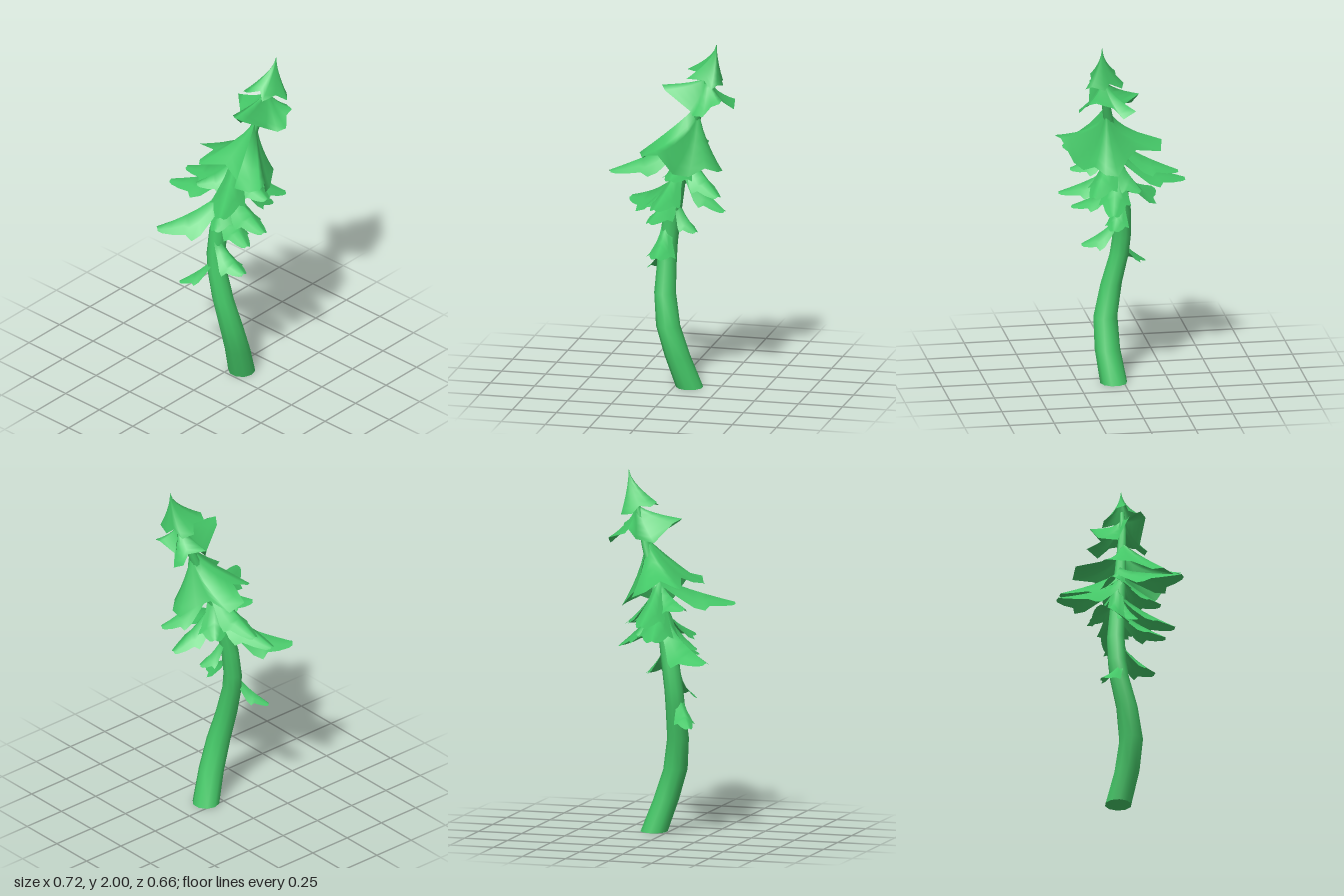
import * as THREE from 'three';

const green = new THREE.MeshStandardMaterial({ color: 0x44c767, side: THREE.DoubleSide });
const V = ([x, y, z]) => new THREE.Vector3(x, y, z);

// Smooth surface through rows of points; wrap joins the last column to the first
function surface(name, rows, wrap) {
  const n = rows[0].length, index = [];
  for (let i = 0; i < rows.length - 1; i++) {
    for (let j = 0; j < (wrap ? n : n - 1); j++) {
      const k = (j + 1) % n;
      const a = i * n + j, b = i * n + k, c = a + n, d = b + n;
      index.push(a, b, c, b, d, c);
    }
  }
  const geo = new THREE.BufferGeometry().setFromPoints(rows.flat());
  geo.setIndex(index);
  geo.computeVertexNormals();
  const mesh = new THREE.Mesh(geo, green);
  mesh.name = name;
  return mesh;
}

// Needle skirt: rim points are x, y, z and an optional curl (smaller is steeper at the apex)
function skirt(name, apex, rim) {
  const top = V(apex);
  const rows = [0, 0.08, 0.2, 0.38, 0.6, 0.8, 1].map((t) => rim.map((r) => {
    const p = top.clone().lerp(V(r), t);
    p.y = top.y + (r[1] - top.y) * Math.pow(t, r[3] ?? 0.58);
    return p;
  }));
  return surface(name, rows, true);
}

// Drooping bough: roof-shaped cross-sections (t, half width, edge droop) with toothed edges and a blunt tip
const outline = [
  [0, 0.32, 0.45], [0.1, 0.42, 0.52], [0.22, 0.54, 0.65], [0.42, 0.85, 0.9], [0.56, 1, 0.85],
  [0.63, 0.72, 0.55], [0.8, 0.56, 0.38], [0.95, 0.34, 0.2], [1, 0.2, 0.1],
];
function bough(base, tip, width, curl = 0.58) {
  const a = V(base), b = V(tip);
  const dir = b.clone().sub(a).setY(0).normalize();
  const side = dir.clone().cross(new THREE.Vector3(0, 1, 0));
  const rows = outline.map(([t, w, droop]) => {
    const c = a.clone().lerp(b, t);
    c.y = a.y + (b.y - a.y) * Math.pow(t, curl);
    return [-1, -0.5, 0, 0.5, 1].map((s) => {
      const p = c.clone().addScaledVector(side, s * w * width);
      p.y -= Math.abs(s) * droop * width;
      return p;
    });
  });
  return surface('bough', rows, false);
}

export function createModel() {
  const tree = new THREE.Group();
  tree.name = 'bentConifer';

  // Trunk: x, y, z, radius from top to bottom
  const spine = [
    [0.14, 1.85, -0.22, 0.012], [0.125, 1.72, -0.18, 0.02], [0.1, 1.58, -0.14, 0.026],
    [0.06, 1.38, -0.07, 0.034], [0.02, 1.18, -0.01, 0.042], [-0.012, 0.95, 0.035, 0.05],
    [-0.012, 0.8, 0.055, 0.052], [0, 0.7, 0.06, 0.054], [0.045, 0.53, 0.06, 0.06],
    [0.082, 0.35, 0.033, 0.067], [0.08, 0.18, -0.02, 0.071], [0.055, 0, -0.082, 0.075],
  ];
  const sides = 10;
  const rings = spine.map(([x, y, z, r]) => Array.from({ length: sides }, (_, j) => {
    const a = (j / sides) * Math.PI * 2;
    return new THREE.Vector3(x + r * Math.cos(a), y, z + r * Math.sin(a));
  }));
  tree.add(surface('trunk', rings, true));

  // Flat underside of the trunk
  const base = new THREE.Mesh(new THREE.CircleGeometry(0.075, sides), green);
  base.name = 'trunkBase';
  base.rotation.x = Math.PI / 2;
  base.position.set(0.055, 0, -0.082);
  tree.add(base);

  // Crown skirts, top to bottom
  tree.add(skirt('topSkirt', [0.15, 2, -0.26], [
    [0.24, 1.76, -0.25], [0.2, 1.8, -0.2], [0.19, 1.8, -0.1], [0.14, 1.83, -0.14],
    [0.1, 1.83, -0.08], [0.05, 1.81, -0.1], [0.06, 1.81, -0.17], [0.02, 1.77, -0.2],
    [0.04, 1.76, -0.27], [0.11, 1.79, -0.27], [0.14, 1.76, -0.295], [0.21, 1.78, -0.28],
  ]));
  tree.add(skirt('middleSkirt', [0.135, 1.85, -0.21], [
    [0.27, 1.61, -0.21, 0.5], [0.26, 1.61, -0.15, 0.5], [0.2, 1.62, -0.12], [0.17, 1.72, 0.03, 0.3],
    [0.13, 1.74, 0.055, 0.28], [0.08, 1.72, 0.02, 0.3], [0.05, 1.61, -0.08], [-0.03, 1.64, -0.16, 0.4],
    [-0.07, 1.7, -0.19, 0.32], [0.02, 1.66, -0.24, 0.45], [-0.03, 1.64, -0.32, 0.4], [0.04, 1.6, -0.33, 0.45],
    [0.09, 1.65, -0.28, 0.5], [0.19, 1.69, -0.3, 0.35], [0.235, 1.68, -0.295, 0.35], [0.235, 1.66, -0.25, 0.4],
  ]));
  tree.add(skirt('mainSkirt', [0.105, 1.64, -0.145], [
    [0.33, 1.39, 0.03, 0.34], [0.355, 1.39, 0.1, 0.36], [0.3, 1.36, 0.125, 0.5], [0.22, 1.37, 0.16, 0.85],
    [0.18, 1.38, 0.1, 0.85], [0.07, 1.42, 0.07, 0.8], [-0.08, 1.38, 0.12, 0.68], [-0.1, 1.39, 0.09, 0.62],
    [-0.08, 1.42, 0, 0.5], [-0.22, 1.38, -0.04, 0.38], [-0.2, 1.34, -0.13, 0.4], [-0.06, 1.36, -0.15, 0.5],
    [0, 1.32, -0.2], [0.06, 1.25, -0.27], [0.13, 1.26, -0.26], [0.18, 1.29, -0.2],
    [0.23, 1.25, -0.12], [0.27, 1.27, -0.04, 0.5],
  ]));

  // Boughs below the crown: root, tip, half width, optional curl
  const boughs = [
    [[0.05, 1.42, -0.05], [-0.31, 1.2, -0.04], 0.09, 0.7],
    [[0.04, 1.36, -0.04], [-0.36, 1.13, 0.04], 0.1, 0.65],
    [[0.05, 1.43, -0.05], [0.26, 1.27, 0.32], 0.1, 0.75],
    [[0.05, 1.42, -0.05], [-0.08, 1.27, 0.14], 0.09],
    [[0.05, 1.42, -0.06], [0.29, 1.24, -0.03], 0.09],
    [[0.05, 1.4, -0.06], [0.2, 1.14, -0.28], 0.09, 0.7],
    [[0.03, 1.33, -0.03], [0.09, 1.03, -0.29], 0.09, 0.7],
    [[0.04, 1.38, -0.04], [-0.09, 1.12, -0.14], 0.09],
    [[0.02, 1.28, -0.01], [0.34, 1.08, 0.05], 0.09],
    [[0.01, 1.27, 0], [-0.22, 1, 0.31], 0.12, 0.45],
    [[0.03, 1.3, -0.02], [0.07, 1.03, 0.16], 0.08],
    [[0, 1.18, 0.01], [0.26, 0.98, 0.1], 0.08],
    [[0, 1.1, 0.01], [0.06, 0.89, -0.12], 0.07],
    [[0, 0.95, 0.06], [0.21, 0.765, 0.07], 0.085, 0.55],
    [[0, 0.8, 0.08], [-0.16, 0.62, 0.19], 0.06, 0.7],
  ];
  boughs.forEach((b) => tree.add(bough(...b)));
  return tree;
}
